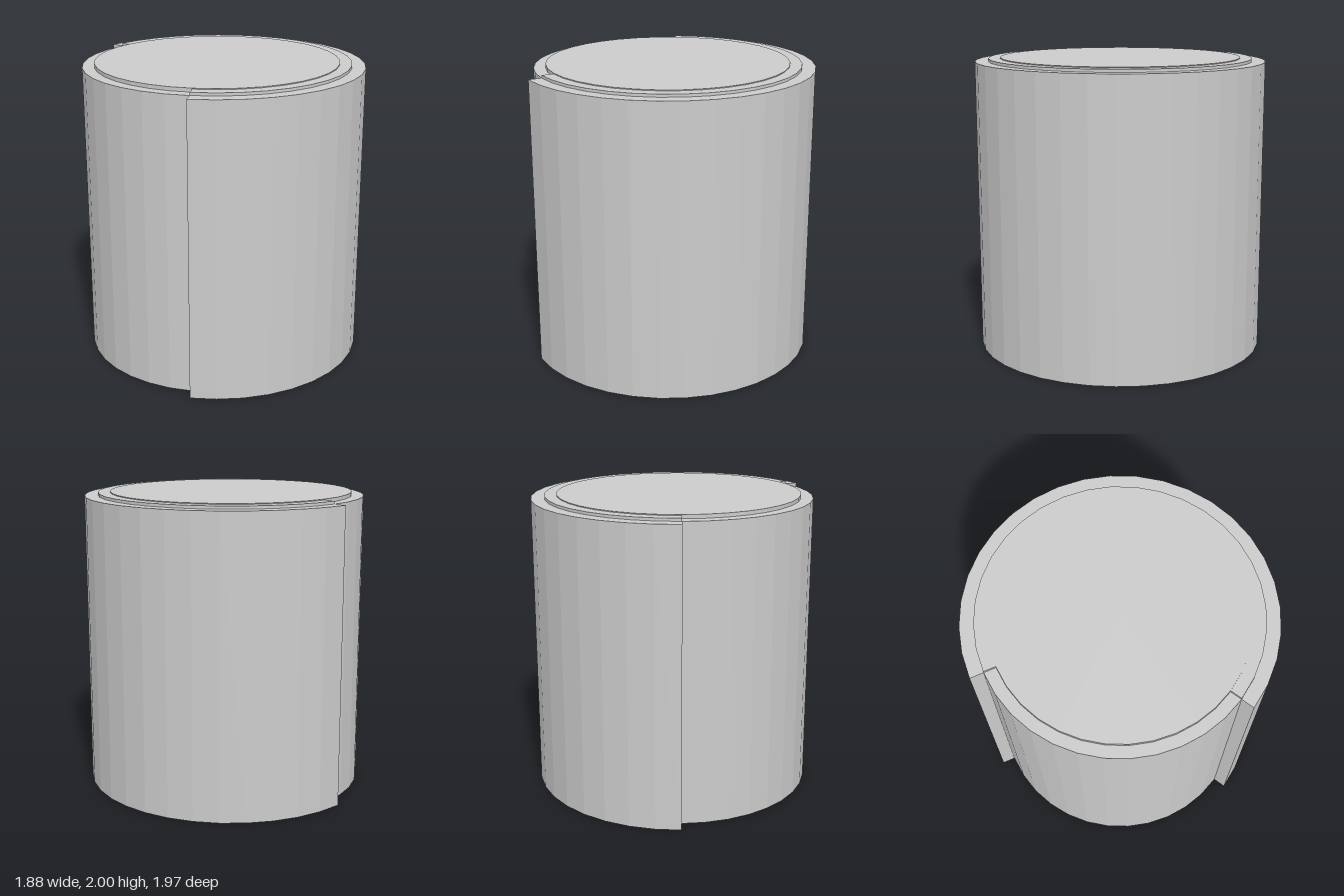
import * as THREE from 'three';

const SEGMENTS = 36;
const CENTRE_X = -0.045;
const SWEEP = (2 * Math.PI) / 3; // sleeve covers -120 to +120 degrees around +x

export function createModel() {
  const group = new THREE.Group();
  group.name = 'slidingSleeveCan';
  const material = new THREE.MeshStandardMaterial({ color: 0xcccccc, flatShading: true });

  const add = (name, geometry) => {
    const mesh = new THREE.Mesh(geometry, material);
    mesh.name = name;
    mesh.position.x = CENTRE_X;
    group.add(mesh);
  };

  // Full round drum between two heights
  const drum = (name, radius, y0, y1) =>
    add(name, new THREE.CylinderGeometry(radius, radius, y1 - y0, SEGMENTS).translate(0, (y0 + y1) / 2, 0));

  // Partial ring wall between two heights
  const partialRing = (name, inner, outer, y0, y1) => {
    const steps = (SEGMENTS * 2) / 3;
    const points = [];
    const arc = (radius, from, to) => {
      for (let i = 0; i <= steps; i++) {
        const a = from + ((to - from) * i) / steps;
        points.push(new THREE.Vector2(radius * Math.cos(a), radius * Math.sin(a)));
      }
    };
    arc(outer, -SWEEP, SWEEP);
    arc(inner, SWEEP, -SWEEP);
    const geometry = new THREE.ExtrudeGeometry(new THREE.Shape(points), { depth: y1 - y0, bevelEnabled: false });
    add(name, geometry.rotateX(-Math.PI / 2).translate(0, y0, 0));
  };

  // Inner can with its slightly raised lid
  drum('innerBody', 0.895, 0, 1.975);
  drum('innerLid', 0.815, 1.975, 2);

  // Outer sleeve wrapping two thirds of the can, with its lower raised lip
  partialRing('outerSleeve', 0.815, 0.985, 0, 1.975);
  partialRing('sleeveLip', 0.815, 0.895, 1.975, 1.994);

  return group;
}
